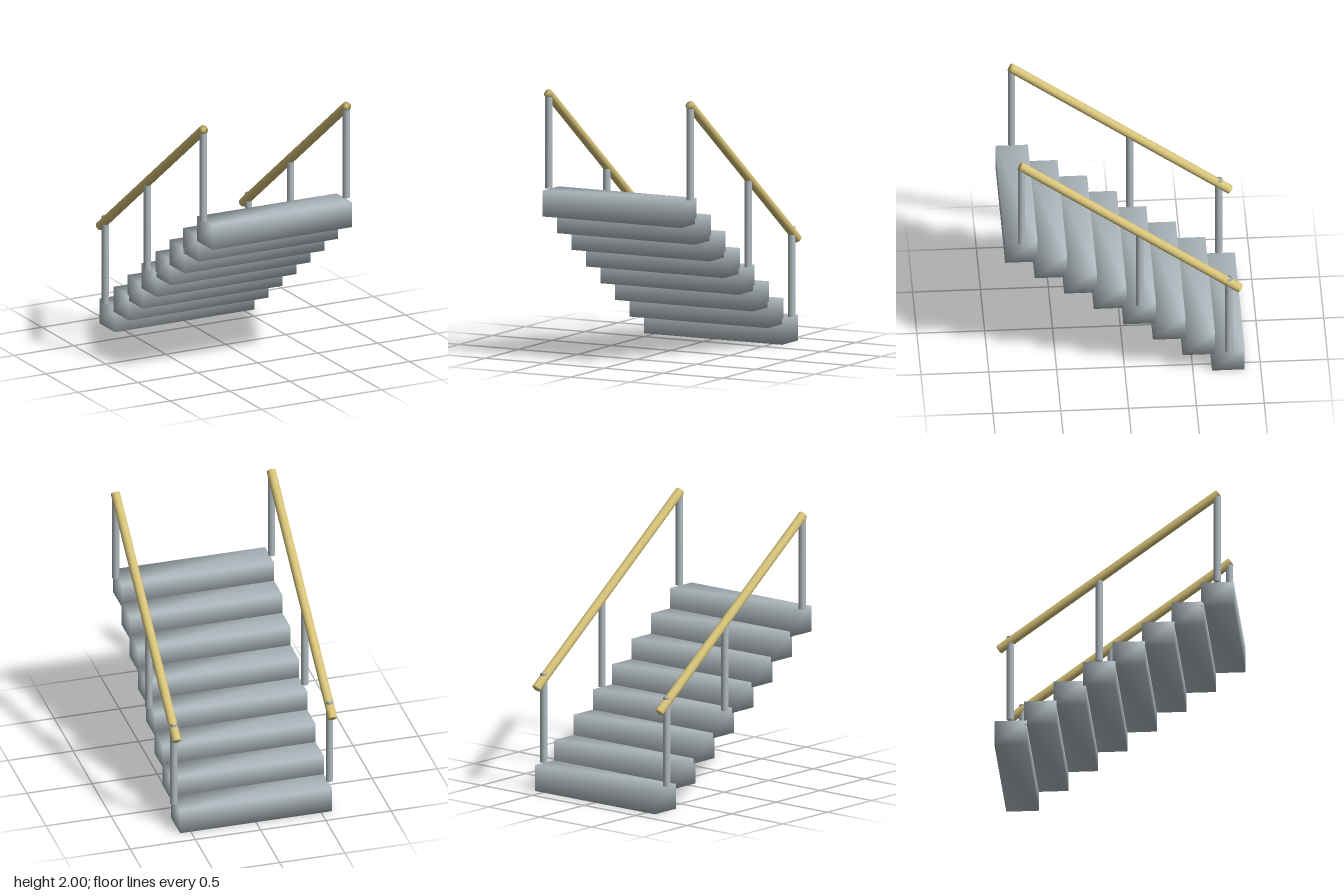
import * as THREE from 'three';
import { mergeVertices } from 'three/addons/utils/BufferGeometryUtils.js';

// Share corner vertices so the shading runs smoothly round every edge
function soften(geometry) {
  geometry.deleteAttribute('normal');
  geometry.deleteAttribute('uv');
  const merged = mergeVertices(geometry, 1e-4);
  merged.computeVertexNormals();
  return merged;
}

// Capped round bar between two points
function bar(name, from, to, radius, material) {
  const axis = to.clone().sub(from);
  const mesh = new THREE.Mesh(
    soften(new THREE.CylinderGeometry(radius, radius, axis.length(), 24)), material);
  mesh.name = name;
  mesh.position.copy(from).add(to).multiplyScalar(0.5);
  mesh.quaternion.setFromUnitVectors(new THREE.Vector3(0, 1, 0), axis.normalize());
  return mesh;
}

export function createModel() {
  const model = new THREE.Group();
  model.name = 'staircase';
  const steel = new THREE.MeshStandardMaterial({ color: 0xb0babf });
  steel.name = 'grey steel';
  const brass = new THREE.MeshStandardMaterial({ color: 0xd6c278 });
  brass.name = 'pale brass';

  // Eight block steps climbing towards the front
  const stepGeometry = soften(new THREE.BoxGeometry(1.165, 0.193, 0.24));
  for (let i = 0; i < 8; i++) {
    const step = new THREE.Mesh(stepGeometry, steel);
    step.name = `step${i + 1}`;
    step.position.set(0, 0.0965 + i * 0.153, -0.761 + i * 0.218);
    model.add(step);
  }

  // Posts as [z, bottom, top], and a sloping handrail on each side
  const posts = [[-0.762, 0.195, 0.865], [-0.107, 0.65, 1.3], [0.765, 1.265, 1.95]];
  for (const [side, x] of [['left', 0.597], ['right', -0.597]]) {
    const railing = new THREE.Group();
    railing.name = `${side}Railing`;
    posts.forEach(([z, bottom, top], i) => railing.add(bar(
      `${side}Post${i + 1}`,
      new THREE.Vector3(x, bottom, z), new THREE.Vector3(x, top, z), 0.027, steel)));
    railing.add(bar(
      `${side}Handrail`,
      new THREE.Vector3(x, 0.767, -0.845), new THREE.Vector3(x, 1.973, 0.773), 0.034, brass));
    model.add(railing);
  }
  return model;
}
